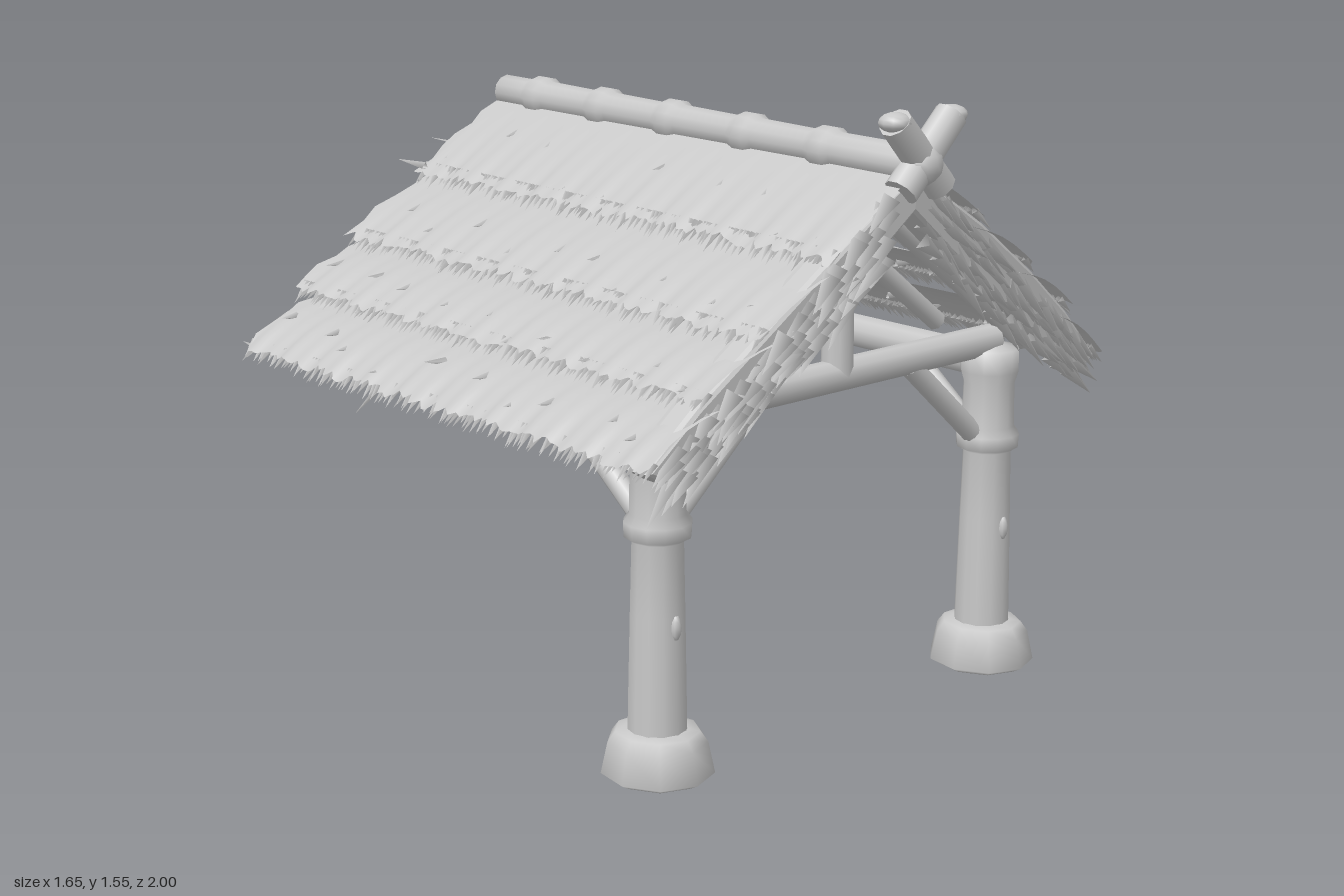
import * as THREE from 'three';
import { mergeGeometries } from 'three/addons/utils/BufferGeometryUtils.js';

const V = (x, y, z) => new THREE.Vector3(x, y, z);
const UP = V(0, 1, 0);

// Small seeded random, returns -1..1
let seed = 7;
const rnd = () => {
  seed = (seed * 16807) % 2147483647;
  return (seed / 2147483647) * 2 - 1;
};

// Turn a geometry that runs along y from 0 to its length into place from a to b
function place(geo, a, b) {
  const q = new THREE.Quaternion().setFromUnitVectors(UP, b.clone().sub(a).normalize());
  return geo.applyQuaternion(q).translate(a.x, a.y, a.z);
}

function poleGeo(a, b, r0, r1 = r0, sides = 10) {
  const len = a.distanceTo(b);
  return place(new THREE.CylinderGeometry(r1, r0, len, sides).translate(0, len / 2, 0), a, b);
}

// Thin straw blade
function blade(a, b, w) {
  const len = a.distanceTo(b);
  return place(new THREE.ConeGeometry(w, len, 3, 1, true).translate(0, len / 2, 0), a, b);
}

const lathe = (pts, sides) =>
  new THREE.LatheGeometry(pts.map(([r, y]) => new THREE.Vector2(r, y)), sides);

// Lower edges of the thatch rows, from ridge to eaves
const EDGES = [[0.03, 1.4], [0.27, 1.245], [0.48, 1.1], [0.645, 0.97], [0.8, 0.82]];
const BACK = -0.63;
const frontZ = (x) => 0.955 - 0.06 * Math.abs(x) - 0.03 * x;

// The right slope sags a little in the middle
const sag = (side, x) => (side < 0 ? 0.035 * Math.sin(Math.PI * Math.min(1, Math.max(0, x / 0.8))) : 0);

// The ridge runs slightly askew, the eaves stay straight
const roofPoint = (side, x, y, z) =>
  V(side * x + Math.max(0, 1 - x / 0.8) * (0.05 - 0.035 * z), y - sag(side, x), z);

// One row of thatch: bowed sheet tucked under the row above, with a ragged lower edge
function thatchRow(side, k) {
  const tuck = k ? 0.08 : 0, drop = k ? 0.055 : 0.01, bow = k ? 0.022 : 0.008;
  const [bx, by] = EDGES[k + 1];
  const ax = EDGES[k][0] - tuck * 0.8, ay = EDGES[k][1] + tuck * 0.6;
  const NZ = 110, NS = 6, pos = [], index = [];
  for (let i = 0; i <= NZ; i++) {
    const ragged = rnd() * 0.014, cut = rnd() * 0.012;
    const wave = 0.004 * Math.sin(i * 0.55 + k * 2) + 0.003 * Math.sin(i * 1.3 + k);
    for (let j = 0; j <= NS; j++) {
      const t = j / NS;
      const off = -drop * (1 - t) + bow * Math.sin(Math.PI * t) + 0.014 * t + wave * t;
      const along = t === 1 ? ragged : 0;
      const x = ax + (bx - ax) * t + off * 0.6 + along * 0.8;
      const y = ay + (by - ay) * t + off * 0.8 - along * 0.6;
      const z = BACK + (frontZ(side * x) - BACK) * (i / NZ) + (i === 0 ? cut + 0.012 * Math.sin(j * 4 + k) : 0);
      const p = roofPoint(side, x, y, z);
      pos.push(p.x, p.y, p.z);
    }
  }
  const row = NS + 1;
  for (let i = 0; i < NZ; i++)
    for (let j = 0; j < NS; j++) {
      const a = i * row + j, b = a + row;
      if (side > 0) index.push(a, b, a + 1, b, b + 1, a + 1);
      else index.push(a, a + 1, b, b, a + 1, b + 1);
    }
  const geo = new THREE.BufferGeometry();
  geo.setAttribute('position', new THREE.Float32BufferAttribute(pos, 3));
  geo.setIndex(index);
  geo.computeVertexNormals();
  return geo;
}

// Straw tips along the lower edge of a row, and a few loose on its face
function rowTips(side, k) {
  const [ax, ay] = EDGES[k], [bx, by] = EDGES[k + 1], parts = [];
  const span = frontZ(side * bx) - BACK;
  for (let i = 0; i < 110; i++) {
    const z = BACK + span * ((i + 0.5) / 110) + rnd() * 0.006;
    const len = 0.024 + 0.012 * rnd();
    parts.push(blade(roofPoint(side, bx - 0.025, by + 0.026, z),
      roofPoint(side, bx + len * 0.7, by - len * 0.75, z + rnd() * 0.012), 0.011));
  }
  for (let i = 0; i < 10; i++) {
    const t = 0.5 + rnd() * 0.25, z = BACK + span * (i + 0.5) / 10 + rnd() * 0.04;
    const x = ax + (bx - ax) * t, y = ay + (by - ay) * t;
    parts.push(blade(roofPoint(side, x, y - 0.01, z),
      roofPoint(side, x + 0.055, y - 0.012, z + rnd() * 0.02), 0.012));
  }
  return mergeGeometries(parts);
}

// Thick thatch roll along the front gable
function gableRoll(side) {
  const s = new THREE.Shape();
  s.moveTo(0.0, 1.39);
  [[0.27, 1.23], [0.48, 1.085], [0.645, 0.955], [0.78, 0.825], [0.74, 0.8], [0.55, 0.89], [0.3, 1.08], [0.0, 1.31]]
    .forEach(([x, y], i) => s.lineTo(side * x, y - (i < 4 ? sag(side, x) : 0)));
  s.closePath();
  const geo = new THREE.ExtrudeGeometry(s, {
    depth: 0.05, bevelEnabled: true, bevelSize: 0.012, bevelThickness: 0.02, bevelSegments: 2,
  });
  const p = geo.attributes.position;
  for (let i = 0; i < p.count; i++) {
    const x = p.getX(i);
    p.setZ(i, p.getZ(i) + frontZ(x) - 0.08);
    p.setX(i, x + 0.017 * Math.max(0, 1 - Math.abs(x) / 0.8));
  }
  geo.computeVertexNormals();
  return geo;
}

// Straw tufts combed down the slope over the gable roll
function gableTips(side) {
  const parts = [];
  for (let lane = 0; lane < 4; lane++)
    for (let i = 0; i < 18; i++) {
      const t = (i + 0.5 + rnd() * 0.5) / 18;
      const x = 0.05 + 0.66 * t;
      const y = 1.37 - 0.5 * t - 0.14 * (lane / 3) * (1 - 0.4 * t * t) - sag(side, x) * (1 - lane / 3);
      const z = frontZ(side * x) - 0.012 + rnd() * 0.01, len = 0.105 + rnd() * 0.035;
      parts.push(blade(V(side * x, y, z),
        V(side * (x + len * (0.74 + rnd() * 0.16)), y - len * (0.74 + rnd() * 0.18), z + 0.012), 0.025));
    }
  return mergeGeometries(parts);
}

export function createModel() {
  const group = new THREE.Group();
  const grey = new THREE.MeshStandardMaterial({ color: 0xc8c8c8, side: THREE.DoubleSide });
  grey.name = 'pale grey';
  const add = (name, geo) => {
    const m = new THREE.Mesh(geo, grey);
    m.name = name;
    group.add(m);
  };
  const pole = (name, a, b, r0, r1, sides) => add(name, poleGeo(a, b, r0, r1, sides));

  const POST_Z = 0.71, REAR_Z = -0.54;

  for (const s of [1, -1]) {
    // Post with collar and stone foot
    add('post', lathe([[0.072, 0.08], [0.07, 0.2], [0.066, 0.4], [0.062, 0.58], [0.08, 0.59],
      [0.082, 0.625], [0.068, 0.645], [0.066, 0.76], [0.075, 0.79], [0.075, 0.85], [0, 0.87]], 12)
      .translate(s * 0.573, 0, POST_Z));
    add('footStone', lathe([[0, 0], [0.11, 0], [0.134, 0.014], [0.118, 0.09], [0.1, 0.115], [0.07, 0.12]], 9)
      .scale(1, 1, 1.04).translate(s * 0.573, 0, POST_Z));
    // Knots on the post
    for (const dz of [0.06, -0.06])
      add('knot', new THREE.SphereGeometry(0.022, 8, 6).scale(0.7, 1.5, 0.7)
        .translate(s * 0.573, 0.38, POST_Z + dz));
    // Wall plate with a tapering rear end, and braces
    pole('wallPlate', V(s * 0.575, 0.81, 0.74), V(s * 0.575, 0.81, -0.34), 0.045);
    pole('wallPlateEnd', V(s * 0.575, 0.81, -0.34), V(s * 0.585, 0.84, -0.59), 0.045, 0.026);
    pole('crossBrace', V(s * 0.54, 0.61, POST_Z), V(s * 0.27, 0.85, POST_Z), 0.028);
    pole('sideBrace', V(s * 0.573, 0.61, POST_Z - 0.04), V(s * 0.573, 0.82, 0.4), 0.028);
    add('rearSplinter', blade(V(s * 0.575, 0.8, -0.28), V(s * 0.575, 0.64, -0.47), 0.018));
    // Rafters
    for (const z of [0.72, 0.42, 0.11, -0.2, REAR_Z])
      pole('rafter', roofPoint(s, 0.0, 1.35, z), V(s * 0.69, 0.85, z), 0.03, 0.028, 8);
    // Thatch
    for (let k = 0; k < 4; k++) {
      add('thatchRow', thatchRow(s, k));
      add('thatchTips', rowTips(s, k));
    }
    add('gableThatch', gableRoll(s));
    add('gableTips', gableTips(s));
  }

  // Tie beams and king posts of both trusses
  for (const [z, x, r] of [[POST_Z, 0.01, 0.04], [REAR_Z, 0.025, 0.035]]) {
    pole('tieBeam', V(-0.58, 0.87, z), V(0.58, 0.87, z), r);
    pole('kingPost', V(x, 0.87, z), V(x, 1.36, z), r, r - 0.003);
    add('kingPostCap', new THREE.SphereGeometry(0.045, 12, 8).translate(x, 1.275, z));
  }

  // Ridge pole with raised joints
  const ridgeA = V(0.085, 1.412, -0.635), ridgeB = V(0.022, 1.412, 0.95);
  const ridge = [[0, 0], [0.044, 0]];
  for (const z of [-0.47, -0.2, 0.08, 0.37, 0.65]) {
    const d = z + 0.635;
    ridge.push([0.044, d - 0.05], [0.056, d - 0.02], [0.056, d + 0.02], [0.046, d + 0.04]);
  }
  const ridgeLen = ridgeA.distanceTo(ridgeB);
  ridge.push([0.046, ridgeLen], [0, ridgeLen]);
  add('ridgePole', place(lathe(ridge, 12), ridgeA, ridgeB));

  // Crossed finials at the front of the ridge
  for (const s of [1, -1]) {
    const tip = V(0.03 + s * 0.095, 1.52, 0.95);
    pole('crossedFinial', V(0.03 - s * 0.065, 1.355, 0.945), tip, 0.042, 0.04);
    add('finialEnd', new THREE.SphereGeometry(0.04, 10, 8).scale(1, 0.6, 1).translate(tip.x, tip.y, tip.z));
  }
  add('finialBinding', new THREE.SphereGeometry(0.054, 12, 8).translate(0.03, 1.415, 0.945));

  // Stray straws at the rear edge
  for (const [x, y, z, w] of [[0.09, 1.238, -1.0, 0.014], [0.73, 0.81, -0.83, 0.009], [-0.21, 1.24, -0.75, 0.012],
    [-0.75, 0.82, -0.72, 0.01], [0.32, 1.23, -0.71, 0.01], [0.52, 1.08, -0.7, 0.008]])
    add('strayStraw', blade(V(x - 0.02, y, -0.6), V(x, y, z), w));

  return group;
}
